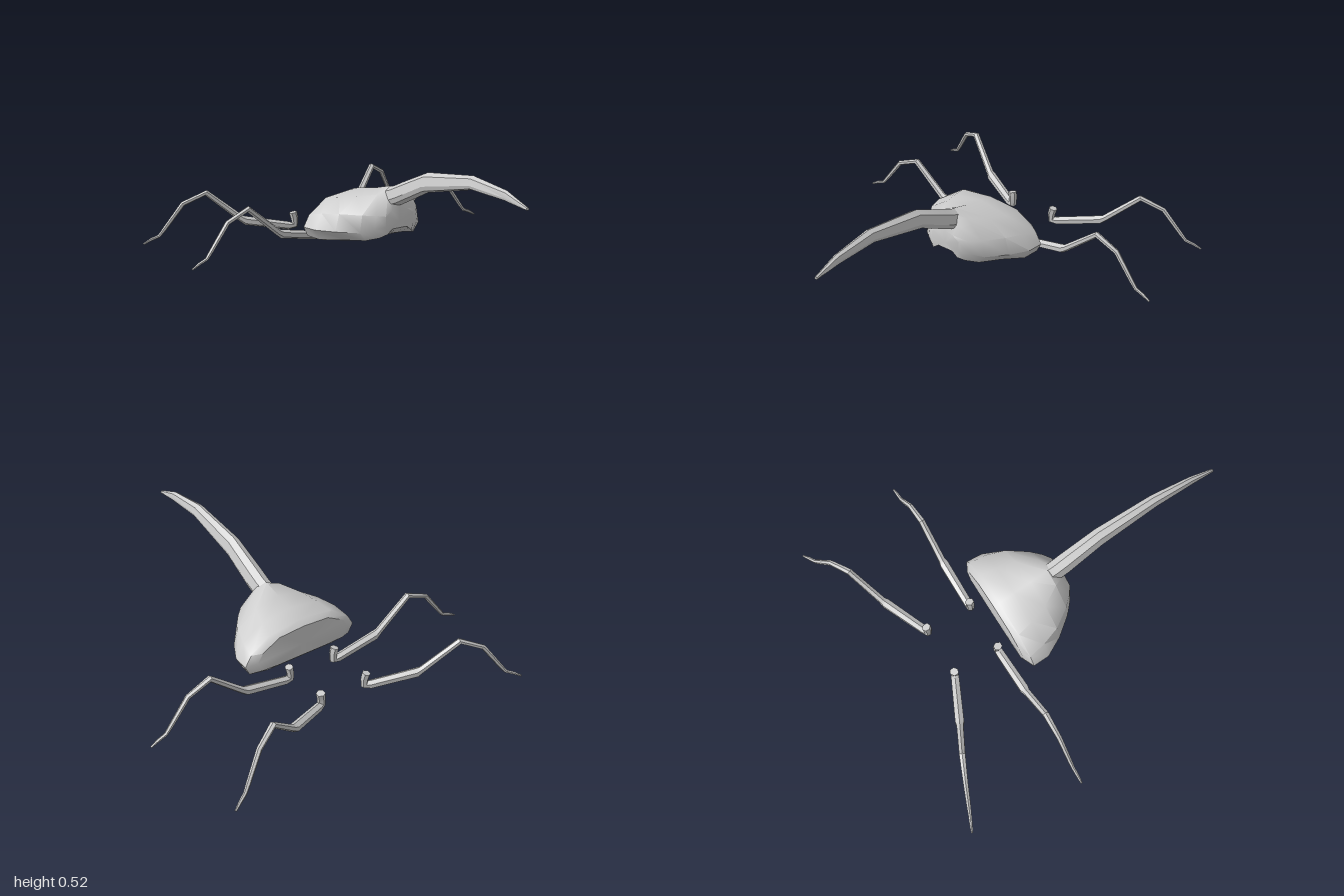
import * as THREE from 'three';
import { toCreasedNormals } from 'three/addons/utils/BufferGeometryUtils.js';

const material = new THREE.MeshStandardMaterial({ color: 0xcccccc });

// Skin a list of equal-sized rings of [x, y, z] points and cap both ends.
function loft(rings, crease) {
  const n = rings[0].length;
  const positions = rings.flat(2);
  const index = [];
  for (let i = 0; i < rings.length - 1; i++) {
    for (let j = 0; j < n; j++) {
      const a = i * n + j, b = i * n + (j + 1) % n;
      index.push(a, b, b + n, a, b + n, a + n);
    }
  }
  for (const i of [0, rings.length - 1]) {
    const centre = positions.length / 3;
    for (let k = 0; k < 3; k++) positions.push(rings[i].reduce((s, p) => s + p[k], 0) / n);
    for (let j = 0; j < n; j++) {
      const a = i * n + j, b = i * n + (j + 1) % n;
      if (i === 0) index.push(centre, b, a);
      else index.push(centre, a, b);
    }
  }
  const geometry = new THREE.BufferGeometry();
  geometry.setAttribute('position', new THREE.Float32BufferAttribute(positions, 3));
  geometry.setIndex(index);
  return toCreasedNormals(geometry, crease);
}

// Half outline from bottom centre to top centre, mirrored into a full ring.
function mirrorRing(half, z) {
  const right = half.map(([x, y]) => [x, y, z]);
  const left = half.slice(1, -1).reverse().map(([x, y]) => [-x, y, z]);
  return [...right, ...left];
}

function part(name, geometry) {
  const mesh = new THREE.Mesh(geometry, material);
  mesh.name = name;
  return mesh;
}

// Broad head shield: flat behind, narrowing forward, undercut at the mouth.
function headShield() {
  const sections = [
    [-0.32, [[0, 0.11], [0.15, 0.11], [0.25, 0.115], [0.28, 0.17], [0.25, 0.22], [0.15, 0.275], [0, 0.285]]],
    [-0.29, [[0, 0.08], [0.2, 0.08], [0.31, 0.1], [0.335, 0.15], [0.3, 0.21], [0.19, 0.285], [0, 0.31]]],
    [-0.2, [[0, 0.08], [0.2, 0.08], [0.3, 0.095], [0.33, 0.15], [0.285, 0.23], [0.17, 0.3], [0, 0.328]]],
    [-0.1, [[0, 0.085], [0.15, 0.085], [0.22, 0.1], [0.275, 0.15], [0.25, 0.24], [0.14, 0.315], [0, 0.345]]],
    [0, [[0, 0.12], [0.09, 0.115], [0.16, 0.105], [0.195, 0.15], [0.18, 0.24], [0.08, 0.335], [0, 0.37]]],
    [0.05, [[0, 0.145], [0.08, 0.14], [0.11, 0.12], [0.14, 0.17], [0.13, 0.24], [0.055, 0.31], [0, 0.36]]],
    [0.08, [[0, 0.165], [0.05, 0.165], [0.08, 0.14], [0.09, 0.18], [0.09, 0.235], [0.05, 0.26], [0, 0.27]]],
  ];
  return loft(sections.map(([z, half]) => mirrorRing(half, z)), 0.75);
}

// Long curved horn: each section is [z, bottom, top, half width].
function horn() {
  const outline = [[0, 0], [0.85, 0.12], [1, 0.35], [0.7, 0.82], [0, 1]];
  const sections = [
    [-0.02, 0.25, 0.36, 0.05], [0.04, 0.27, 0.378, 0.052], [0.1, 0.29, 0.405, 0.052],
    [0.3, 0.385, 0.488, 0.045], [0.63, 0.455, 0.525, 0.033],
    [0.86, 0.44, 0.492, 0.02], [1, 0.42, 0.435, 0.009],
  ];
  return loft(sections.map(([z, low, high, w]) =>
    mirrorRing(outline.map(([u, v]) => [u * w, low + v * (high - low)]), z)), 0.5);
}

// Jointed leg along +x: path entries are [x, y, radius].
function legGeometry() {
  const path = [
    [0.012, 0.135, 0.022], [0.004, 0.1, 0.02], [0.004, 0.065, 0.02], [0.035, 0.062, 0.022],
    [0.27, 0.104, 0.024], [0.295, 0.118, 0.018], [0.48, 0.268, 0.016], [0.605, 0.215, 0.013],
    [0.705, 0.085, 0.011], [0.735, 0.048, 0.009], [0.78, 0.03, 0.008], [0.82, 0.008, 0.005],
  ];
  const sides = 6;
  const rings = path.map(([x, y, r], i) => {
    const before = path[Math.max(i - 1, 0)], after = path[Math.min(i + 1, path.length - 1)];
    const angle = Math.atan2(after[1] - before[1], after[0] - before[0]);
    return Array.from({ length: sides }, (_, k) => {
      const t = (k / sides) * Math.PI * 2;
      const across = r * Math.cos(t);
      return [x - Math.sin(angle) * across, y + Math.cos(angle) * across, r * 1.1 * Math.sin(t)];
    });
  });
  return loft(rings, 0.6);
}

export function createModel() {
  const model = new THREE.Group();
  model.name = 'hornedBeetleParts';
  model.add(part('headShield', headShield()), part('horn', horn()));

  // Two pairs of legs; the rear pair is swept backward.
  const leg = legGeometry();
  for (const [name, z, sweep] of [['middleLeg', -0.39, 0], ['rearLeg', -0.645, 0.435]]) {
    for (const side of [1, -1]) {
      const mesh = part(name + (side > 0 ? 'Left' : 'Right'), leg);
      mesh.position.set(0.13 * side, 0, z);
      mesh.rotation.y = side > 0 ? sweep : Math.PI - sweep;
      model.add(mesh);
    }
  }
  return model;
}
